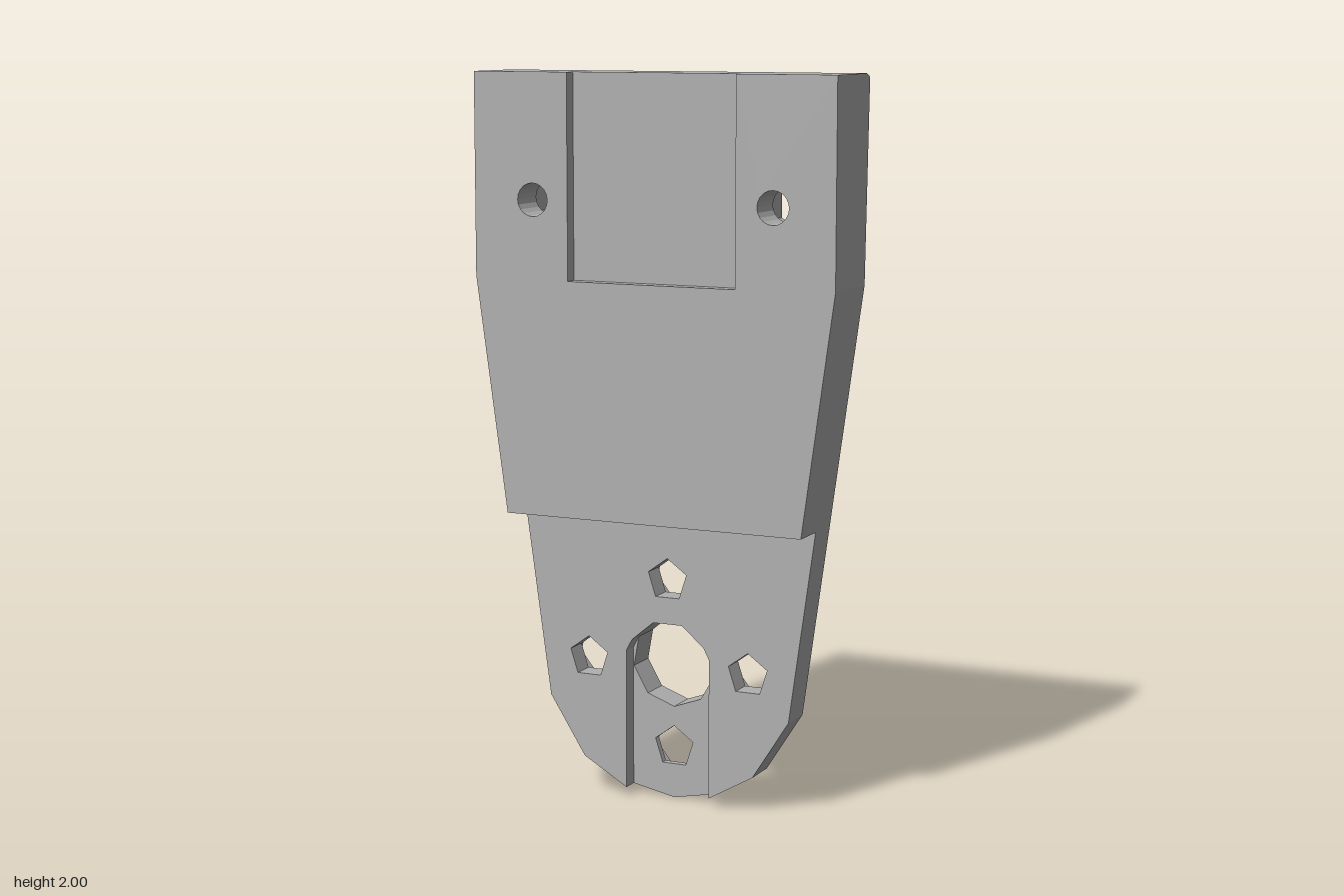
import * as THREE from 'three';

const grey = new THREE.MeshStandardMaterial({ color: 0xb0b0b0 });
grey.name = 'plain grey';

// Mirror a right-hand run of points (top to bottom) into a closed outline.
const mirrored = (right, middle = []) => [
  ...right, ...middle, ...right.map(([x, y]) => [-x, y]).reverse(),
];

// Regular polygon used as a hole.
const polygon = (x, y, r, sides, turn = 0) =>
  Array.from({ length: sides }, (_, i) => {
    const a = turn + (i / sides) * Math.PI * 2;
    return [x + r * Math.cos(a), y + r * Math.sin(a)];
  });

const toPoints = (list) => list.map(([x, y]) => new THREE.Vector2(x, y));

// Flat slab from z0 to z1; backOutline moves the rim at z0 to make a chamfer.
function slab(name, outline, holes, z0, z1, backOutline) {
  const shape = new THREE.Shape(toPoints(outline));
  for (const h of holes) shape.holes.push(new THREE.Path(toPoints(h)));
  const geo = new THREE.ExtrudeGeometry(shape, { depth: z1 - z0, bevelEnabled: false });
  if (backOutline) {
    const p = geo.attributes.position;
    for (let i = 0; i < p.count; i++) {
      if (p.getZ(i) > 1e-5) continue;
      const k = outline.findIndex(([x, y]) => Math.hypot(x - p.getX(i), y - p.getY(i)) < 1e-4);
      if (k >= 0) p.setXY(i, ...backOutline[k]);
    }
    geo.computeVertexNormals();
  }
  geo.translate(0, 0, z0);
  const mesh = new THREE.Mesh(geo, grey);
  mesh.name = name;
  return mesh;
}

export function createModel() {
  const group = new THREE.Group();
  group.name = 'mountingBracket';

  // Outlines
  const side = [[0.525, 2], [0.525, 1.45], [0.36, 0.27], [0.255, 0.105], [0.125, 0.03]];
  const full = mirrored(side, [[0, 0.005]]);
  const inset = mirrored(
    [[0.52, 1.99], [0.505, 1.45], [0.342, 0.29], [0.238, 0.135], [0.115, 0.055]], [[0, 0.03]]);
  const slotted = mirrored([...side, [0.125, 0.42], [0.108, 0.4525], [0.043, 0.507]]);
  const upper = mirrored([[0.525, 2], [0.525, 1.45], [0.435, 0.8]]);
  const recessed = [
    ...upper, [-0.245, 2], [-0.245, 1.445], [0.245, 1.445], [0.245, 2],
  ];

  // Holes
  const up = Math.PI / 2;
  const centre = polygon(0, 0.39, 0.125, 9, up + Math.PI / 9);
  const spots = [[0, 0.63], [-0.24, 0.39], [0.24, 0.39], [0, 0.15]];
  const screws = spots.map(([x, y]) => polygon(x, y, 0.06, 5, up));
  const bores = spots.map(([x, y]) => polygon(x, y, 0.095, 7, up));
  const nuts = [-0.35, 0.35].map((x) => polygon(x, 1.66, 0.088, 6, up));
  const bolts = [-0.35, 0.35].map((x) => polygon(x, 1.66, 0.045, 20));

  // Plate, from the chamfered back to the slotted front
  group.add(
    slab('chamferedBack', full, [centre, ...bores, ...nuts], -0.12, -0.085, inset),
    slab('counterboredPlate', full, [centre, ...bores, ...nuts], -0.085, -0.05),
    slab('slotFloor', full, [centre, ...screws, ...nuts], -0.05, -0.03),
    slab('slottedFront', slotted, [...screws.slice(0, 3), ...nuts], -0.03, 0.015),
    // Thick upper block with a shallow recess open at the top
    slab('upperBlock', upper, bolts, 0.015, 0.083),
    slab('recessedFace', recessed, bolts, 0.083, 0.12),
  );
  return group;
}
